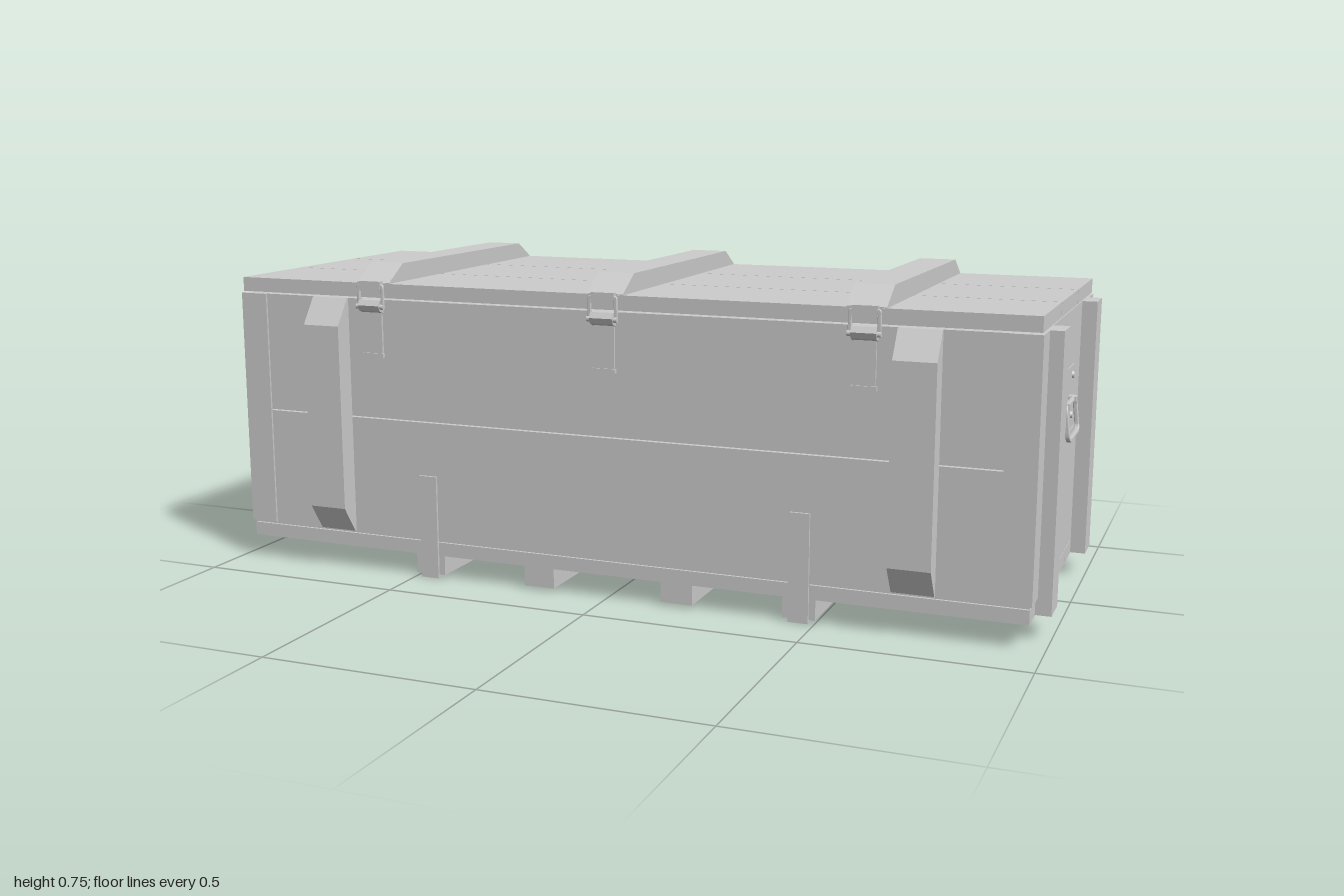
import * as THREE from 'three';

const material = new THREE.MeshStandardMaterial({ color: 0xcccccc });

function add(parent, name, geometry) {
  const mesh = new THREE.Mesh(geometry, material);
  mesh.name = name;
  parent.add(mesh);
  return mesh;
}

// Box given by its limits on each axis
function box(parent, name, x0, x1, y0, y1, z0, z1) {
  const mesh = add(parent, name, new THREE.BoxGeometry(x1 - x0, y1 - y0, z1 - z0));
  mesh.position.set((x0 + x1) / 2, (y0 + y1) / 2, (z0 + z1) / 2);
  return mesh;
}

// Profile drawn as [z, y] points, swept along x around a centre
function sweptAlongX(parent, name, points, x, width) {
  const shape = new THREE.Shape(points.map(([z, y]) => new THREE.Vector2(-z, y)));
  const geometry = new THREE.ExtrudeGeometry(shape, { depth: width, bevelEnabled: false });
  geometry.translate(0, 0, -width / 2).rotateY(Math.PI / 2);
  add(parent, name, geometry).position.x = x;
}

function roundedRect(target, w, h, r) {
  target.moveTo(-w + r, -h);
  target.lineTo(w - r, -h).quadraticCurveTo(w, -h, w, -h + r);
  target.lineTo(w, h - r).quadraticCurveTo(w, h, w - r, h);
  target.lineTo(-w + r, h).quadraticCurveTo(-w, h, -w, h - r);
  target.lineTo(-w, -h + r).quadraticCurveTo(-w, -h, -w + r, -h);
  return target;
}

// Flat frame facing +z, used for handles and latch loops
function frame(parent, name, w, h, r, bar, depth) {
  const shape = roundedRect(new THREE.Shape(), w, h, r);
  shape.holes.push(roundedRect(new THREE.Path(), w - bar, h - bar, r * 0.6));
  const bevel = depth * 0.2;
  return add(parent, name, new THREE.ExtrudeGeometry(shape, {
    depth: depth - 2 * bevel, bevelThickness: bevel, bevelSize: bevel,
    bevelOffset: -bevel, bevelSegments: 2, curveSegments: 6,
  }));
}

// Front or back wall, built facing +z
function longSide() {
  const side = new THREE.Group();
  box(side, 'lowerSideBoard', -0.965, 0.965, 0.09, 0.379, 0.34, 0.37);
  box(side, 'upperSideBoard', -0.965, 0.965, 0.382, 0.668, 0.34, 0.37);
  for (const s of [-1, 1]) {
    // chamfered upright batten
    sweptAlongX(side, 'sideBatten',
      [[0.37, 0.095], [0.375, 0.095], [0.418, 0.16], [0.418, 0.605], [0.375, 0.668], [0.37, 0.668]],
      s * 0.717, 0.095);
    // corner angle, long leg
    const x = s * 0.935;
    box(side, 'cornerPlate', x - 0.035, x + 0.035, 0.095, 0.668, 0.368, 0.375);
    // strap rising from the outer skid
    box(side, 'skidStrap', s * 0.463 - 0.023, s * 0.463 + 0.023, 0, 0.25, 0.369, 0.376);
  }
  return side;
}

// End wall, built facing +z with its face at z = 0.965
function endWall() {
  const end = new THREE.Group();
  box(end, 'lowerEndBoard', -0.34, 0.34, 0.09, 0.379, 0.935, 0.965);
  box(end, 'upperEndBoard', -0.34, 0.34, 0.382, 0.668, 0.935, 0.965);
  for (const s of [-1, 1]) {
    box(end, 'endBatten', s * 0.26 - 0.04, s * 0.26 + 0.04, 0.057, 0.668, 0.962, 1);
    box(end, 'cornerPlate', s * 0.3375 - 0.0375, s * 0.3375 + 0.0375, 0.095, 0.668, 0.963, 0.97);
  }
  // handle plate, bolts, pivots and bail
  box(end, 'handlePlate', -0.122, 0.122, 0.394, 0.536, 0.964, 0.967);
  for (const x of [-0.092, 0.092]) for (const y of [0.42, 0.514]) {
    const bolt = add(end, 'handleBolt', new THREE.CylinderGeometry(0.007, 0.009, 0.006, 12));
    bolt.rotation.x = Math.PI / 2;
    bolt.position.set(x, y, 0.969);
  }
  const bail = frame(end, 'handleBail', 0.077, 0.043, 0.022, 0.009, 0.01);
  bail.position.set(0, 0.428, 0.979);
  bail.rotation.x = -0.12;
  for (const x of [-0.05, 0.05]) box(end, 'handlePivot', x - 0.014, x + 0.014, 0.46, 0.472, 0.965, 0.985);
  return end;
}

// Toggle latch at the front edge of the lid
function latch() {
  const g = new THREE.Group();
  g.name = 'latch';
  box(g, 'latchStrap', -0.025, 0.025, 0.53, 0.65, 0.369, 0.376);
  box(g, 'latchFoot', -0.028, 0.028, 0.53, 0.54, 0.369, 0.379);
  sweptAlongX(g, 'latchLever',
    [[0.37, 0.635], [0.388, 0.642], [0.394, 0.655], [0.386, 0.668], [0.37, 0.668]], 0, 0.056);
  frame(g, 'latchLoop', 0.036, 0.029, 0.008, 0.008, 0.007).position.set(0, 0.676, 0.378);
  box(g, 'latchKeeper', -0.028, 0.028, 0.688, 0.712, 0.369, 0.384);
  const pin = add(g, 'latchPin', new THREE.CylinderGeometry(0.006, 0.006, 0.074, 12));
  pin.rotation.z = Math.PI / 2;
  pin.position.set(0, 0.652, 0.384);
  return g;
}

export function createModel() {
  const model = new THREE.Group();
  model.name = 'crate';

  // Walls
  for (const [i, name] of ['front', 'back'].entries()) {
    const side = longSide();
    side.name = name + 'Wall';
    side.rotation.y = i * Math.PI;
    model.add(side);
  }
  for (const [s, name] of [[1, 'left'], [-1, 'right']]) {
    const end = endWall();
    end.name = name + 'EndWall';
    end.rotation.y = s * Math.PI / 2;
    model.add(end);
  }

  // Floor and lid, three boards each
  for (const [z0, z1] of [[-0.37, -0.1245], [-0.1215, 0.1235], [0.1265, 0.37]]) {
    box(model, 'floorBoard', -0.965, 0.965, 0.055, 0.088, z0, z1);
    box(model, 'lidBoard', -0.967, 0.967, 0.672, 0.706, z0, z1);
  }

  // Lid battens with latches in front and hinges behind
  for (const x of [-0.6, 0, 0.6]) {
    sweptAlongX(model, 'lidBatten',
      [[0.368, 0.704], [0.368, 0.708], [0.303, 0.749], [-0.305, 0.746], [-0.368, 0.708], [-0.368, 0.704]],
      x, 0.088);
    const l = latch();
    l.position.x = x;
    model.add(l);
    const hx = x * 0.81, half = x === 0 ? 0.072 : 0.045;
    box(model, 'hingeLeaf', hx - half, hx + half, 0.65, 0.692, -0.374, -0.369);
    const knuckle = add(model, 'hingeKnuckle', new THREE.CylinderGeometry(0.005, 0.005, 2 * half, 12));
    knuckle.rotation.z = Math.PI / 2;
    knuckle.position.set(hx, 0.67, -0.373);
  }

  // Skids; the outer pair carries metal straps underneath
  for (const x of [-0.463, -0.173, 0.173, 0.463]) {
    box(model, 'skid', x - 0.038, x + 0.038, 0.008, 0.055, -0.37, 0.37);
    if (Math.abs(x) > 0.3) box(model, 'strapUnderSkid', x - 0.023, x + 0.023, 0, 0.009, -0.372, 0.372);
  }
  return model;
}
